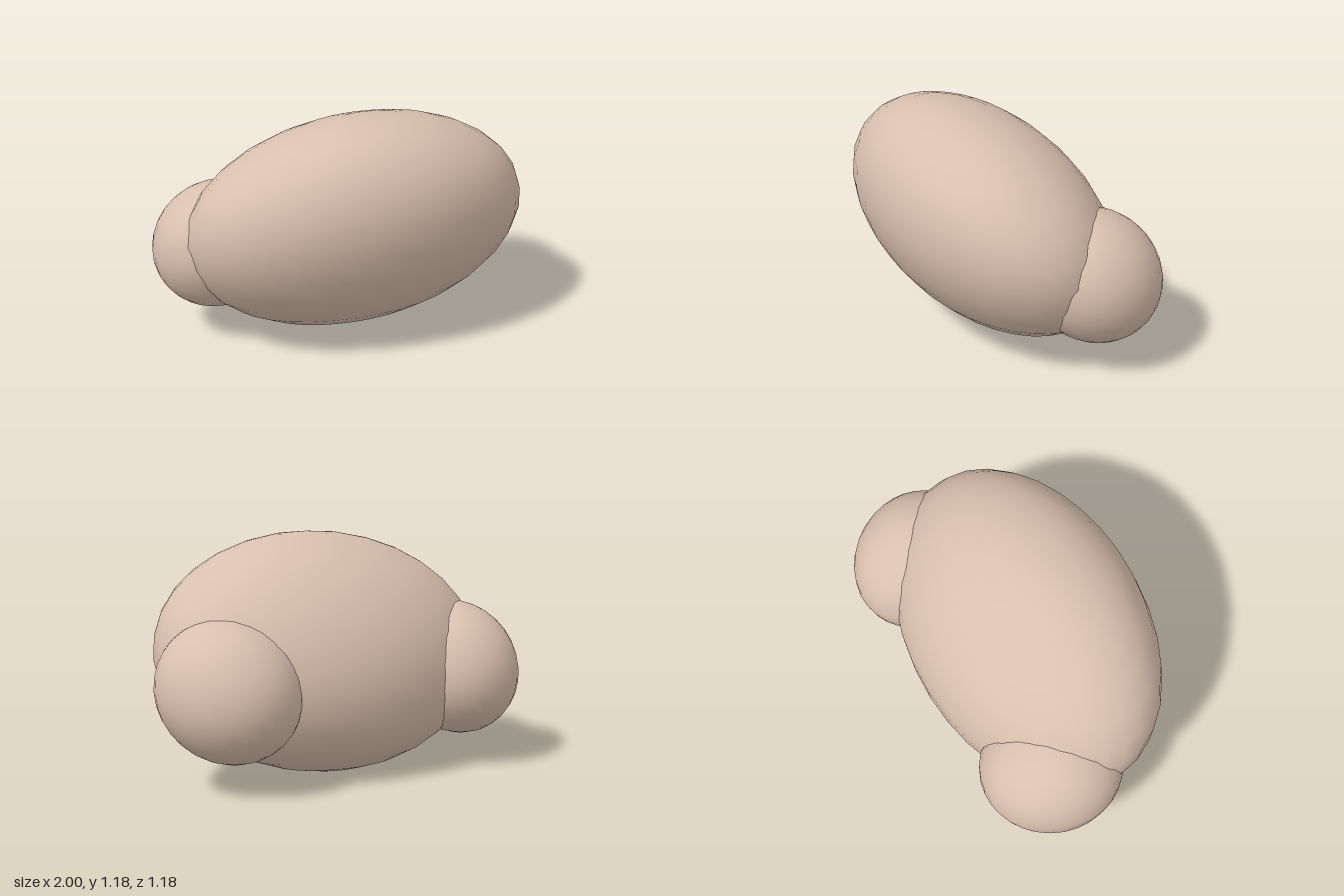
import * as THREE from 'three';

const material = new THREE.MeshStandardMaterial({ color: 0xd9bfae });

// Smooth ellipsoid whose z leans with height (leanY) and with x (leanX)
function leaningEllipsoid(name, [rx, ry, rz], leanX, leanY, [x, y, z]) {
  const geometry = new THREE.SphereGeometry(1, 32, 16);
  geometry.applyMatrix4(new THREE.Matrix4().set(
    rx, 0, 0, 0,
    0, ry, 0, 0,
    leanX * rx, leanY * ry, rz, 0,
    0, 0, 0, 1
  ));
  const mesh = new THREE.Mesh(geometry, material);
  mesh.name = name;
  mesh.position.set(x, y, z);
  return mesh;
}

export function createModel() {
  const model = new THREE.Group();
  model.name = 'roundedForm';

  // Wide central body, leaning forward towards its top
  model.add(leaningEllipsoid('body', [0.9, 0.59, 0.555], 0, 0.263, [0, 0.594, 0.015]));

  // Side lobes, mirrored, set low and towards the back
  for (const side of [1, -1]) {
    model.add(leaningEllipsoid(
      side > 0 ? 'leftLobe' : 'rightLobe',
      [0.34, 0.338, 0.349], side * 0.08, 0.147, [side * 0.66, 0.482, -0.236]
    ));
  }
  return model;
}
